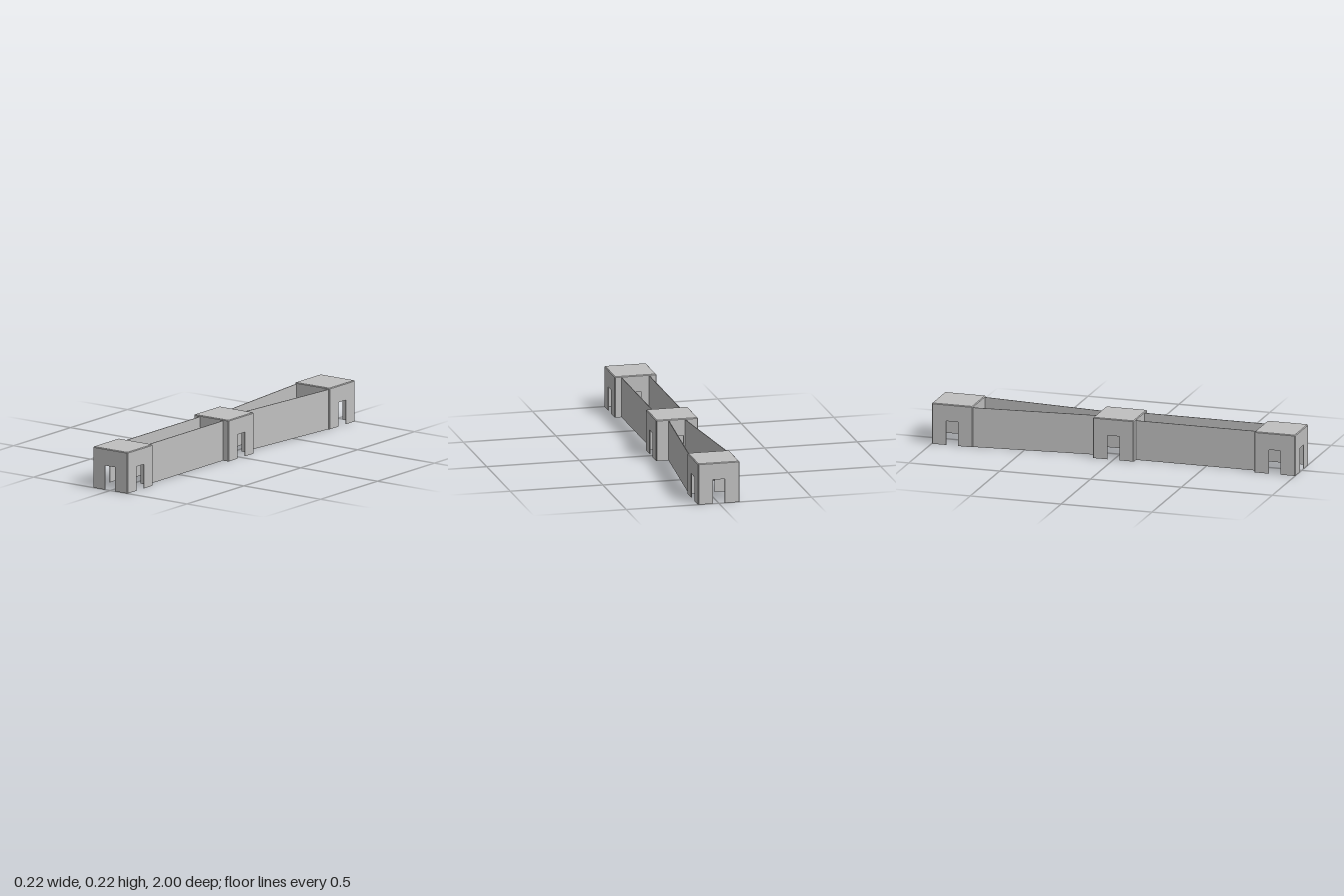
import * as THREE from 'three';

const SIZE = 0.225, HEIGHT = 0.221, WALL = 0.004, BEVEL = 0.004;
const DOOR_W = 0.065, DOOR_H = 0.13;
const SPACING = 1 - SIZE / 2;
const H = SIZE / 2, D = DOOR_W / 2;

const shapeFrom = pts => new THREE.Shape(pts.map(p => new THREE.Vector2(...p)));

// Square outline with small cut corners
function cutSquare(h, c) {
  return [[-h + c, -h], [h - c, -h], [h, -h + c], [h, h - c],
    [h - c, h], [-h + c, h], [-h, h - c], [-h, -h + c]];
}

// Extrude a plan outline straight up from y0 to y1
function rise(shape, y0, y1) {
  return new THREE.ExtrudeGeometry(shape, { depth: y1 - y0, bevelEnabled: false })
    .rotateX(-Math.PI / 2).translate(0, y0, 0);
}

export function createModel() {
  const grey = new THREE.MeshStandardMaterial({ color: 0xc0c0c0 });
  grey.name = 'plain grey';
  const model = new THREE.Group();
  model.name = 'tunnelRun';

  const add = (parent, name, geometry) => {
    const mesh = new THREE.Mesh(geometry, grey);
    mesh.name = name;
    parent.add(mesh);
    return mesh;
  };

  // Hollow chamber with a doorway in every side and an open bottom
  const legGeo = rise(shapeFrom([[D, H - WALL], [H - WALL, H - WALL], [H - WALL, D],
    [H, D], [H, H - BEVEL], [H - BEVEL, H], [D, H]]), 0, DOOR_H);
  const rimShape = shapeFrom(cutSquare(H, BEVEL));
  rimShape.holes.push(new THREE.Path(
    cutSquare(H - WALL, 0.001).reverse().map(p => new THREE.Vector2(...p))));
  const rimGeo = rise(rimShape, DOOR_H, HEIGHT - BEVEL);
  const roofGeo = new THREE.ExtrudeGeometry(shapeFrom(cutSquare(H - BEVEL, 0.002)), {
    depth: 0.0002, bevelSize: BEVEL, bevelThickness: BEVEL, bevelSegments: 1,
  }).rotateX(-Math.PI / 2).translate(0, HEIGHT - BEVEL - 0.0002, 0);

  [['frontChamber', SPACING], ['middleChamber', 0], ['backChamber', -SPACING]].forEach(([name, z]) => {
    const chamber = new THREE.Group();
    chamber.name = name;
    chamber.position.z = z;
    for (let i = 0; i < 4; i++) add(chamber, 'cornerLeg', legGeo).rotation.y = i * Math.PI / 2;
    add(chamber, 'upperWalls', rimGeo);
    add(chamber, 'roof', roofGeo);
    model.add(chamber);
  });

  // Thin corridor wall between two plan points, mirrored on both sides
  const near = H, far = SPACING - H, wallTop = 0.214;
  function corridor(name, x0, z0, x1, z1) {
    const t = WALL / 2;
    for (const s of [1, -1]) {
      const plan = [[x0 - t, -z0], [x0 + t, -z0], [x1 + t, -z1], [x1 - t, -z1]];
      add(model, (s > 0 ? 'left' : 'right') + name,
        rise(shapeFrom(plan.map(([x, y]) => [x * s, y])), 0, wallTop));
    }
  }
  corridor('StraightWall', 0.075, far, 0.075, near);
  corridor('TaperedWall', 0.045, -near, 0.104, -far);

  return model;
}
